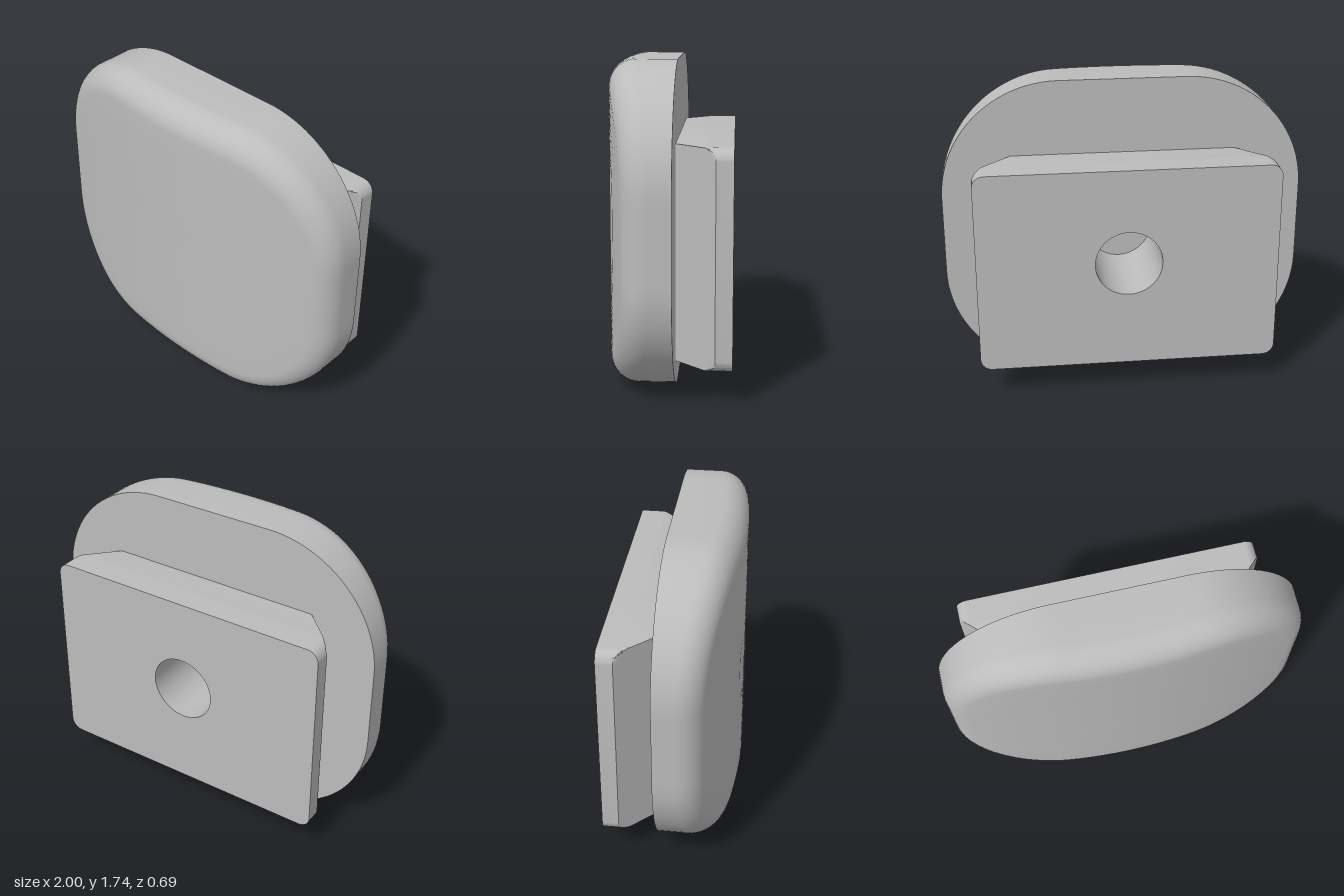
import * as THREE from 'three';
import { toCreasedNormals } from 'three/addons/utils/BufferGeometryUtils.js';

const BACK = -0.045;      // back of the pad, where the mount starts
const MOUNT_BACK = -0.345;
const HOLE = { y: 0.785, r: 0.185, end: 0.18 };

// Rounded rectangle, counter-clockwise, as points with outward normals
function outline(cy, hw, hh, r, arcSteps, edgeSteps) {
  const points = [];
  const corners = [[1, -1], [1, 1], [-1, 1], [-1, -1]];
  corners.forEach(([sx, sy], c) => {
    const ox = sx * (hw - r), oy = cy + sy * (hh - r);
    for (let i = 0; i <= arcSteps; i++) {
      const a = (c - 1 + i / arcSteps) * Math.PI / 2;
      const nx = Math.cos(a), ny = Math.sin(a);
      points.push({ x: ox + r * nx, y: oy + r * ny, nx, ny });
    }
    // subdivide the straight edge to the next corner
    const [tx, ty] = corners[(c + 1) % 4];
    const a = c * Math.PI / 2, nx = Math.cos(a), ny = Math.sin(a);
    const ex = tx * (hw - r), ey = cy + ty * (hh - r);
    for (let i = 1; i < edgeSteps; i++) {
      const t = i / edgeSteps;
      points.push({ x: ox + (ex - ox) * t + r * nx, y: oy + (ey - oy) * t + r * ny, nx, ny });
    }
  });
  return points;
}

// Skin over equal-length rings running from back to front
function loft(rings) {
  const n = rings[0].length, index = [];
  for (let k = 0; k < rings.length - 1; k++) {
    for (let i = 0; i < n; i++) {
      const j = (i + 1) % n, a = k * n, b = a + n;
      index.push(a + i, a + j, b + j, a + i, b + j, b + i);
    }
  }
  const g = new THREE.BufferGeometry();
  g.setAttribute('position', new THREE.Float32BufferAttribute(rings.flat(2), 3));
  g.setIndex(index);
  return toCreasedNormals(g, 0.5);
}

// Flat face looking backward, pierced by the screw hole
function backFace(points, z) {
  const shape = new THREE.Shape(points.map(p => new THREE.Vector2(p.x, p.y)));
  const hole = new THREE.Path();
  hole.absarc(0, HOLE.y, HOLE.r, 0, Math.PI * 2, true);
  shape.holes.push(hole);
  return new THREE.ShapeGeometry(shape, 24).rotateY(Math.PI).translate(0, 0, z);
}

// Pad: straight wall, rolled edge and a front bowed about the vertical axis
function padGeometry(edge) {
  const R = 3.18, r = 0.15, zAxis = 0.345 - R;
  const rings = [edge.map(p => [p.x, p.y, BACK])];
  const steps = 10;
  for (let k = 0; k <= steps; k++) {
    rings.push(edge.map(p => {
      const cx = p.x - r * p.nx, cy = p.y - r * p.ny;
      const cz = zAxis + Math.sqrt((R - r) ** 2 - cx * cx);
      const wall = new THREE.Vector3(p.nx, p.ny, 0);
      const front = new THREE.Vector3(cx, 0, cz - zAxis).normalize();
      const angle = wall.angleTo(front), t = k / steps;
      const d = wall.multiplyScalar(Math.sin((1 - t) * angle))
        .addScaledVector(front, Math.sin(t * angle)).divideScalar(Math.sin(angle));
      return [cx + r * d.x, cy + r * d.y, cz + r * d.z];
    }));
  }
  const rim = rings[rings.length - 1];
  for (const s of [0.85, 0.7, 0.5, 0.25, 0]) {
    rings.push(rim.map(([x, y]) =>
      [x * s, 0.87 + (y - 0.87) * s, zAxis + Math.sqrt(R * R - x * x * s * s)]));
  }
  return loft(rings);
}

// Mount: rounded plate whose sides taper inward toward the pad
function mountGeometry(edge) {
  const levels = [[MOUNT_BACK, 0.83], [-0.255, 0.83], [-0.24, 0.815], [-0.225, 0.8],
    [-0.21, 0.785], [-0.195, 0.77], [BACK, 0.62]];
  return loft(levels.map(([z, w]) =>
    edge.map(p => [THREE.MathUtils.clamp(p.x, -w, w), p.y, z])));
}

export function createModel() {
  const model = new THREE.Group();
  const grey = new THREE.MeshStandardMaterial({ color: 0xbcbcbc });
  grey.name = 'grey';
  const add = (name, geometry) => {
    const mesh = new THREE.Mesh(geometry, grey);
    mesh.name = name;
    model.add(mesh);
  };

  const padEdge = outline(0.87, 1, 0.87, 0.65, 24, 12);
  add('pad', padGeometry(padEdge));
  add('padBack', backFace(padEdge, BACK));

  const mountEdge = outline(0.75, 0.83, 0.575, 0.065, 10, 1);
  add('mount', mountGeometry(mountEdge));
  add('mountBack', backFace(mountEdge, MOUNT_BACK));

  // Blind screw hole: inward-facing wall and flat bottom
  const depth = HOLE.end - MOUNT_BACK;
  const bore = new THREE.CylinderGeometry(HOLE.r, HOLE.r, depth, 48, 1, true);
  bore.rotateX(Math.PI / 2).translate(0, HOLE.y, (HOLE.end + MOUNT_BACK) / 2);
  const order = bore.index.array;
  for (let i = 0; i < order.length; i += 3) [order[i], order[i + 1]] = [order[i + 1], order[i]];
  const normals = bore.attributes.normal.array;
  for (let i = 0; i < normals.length; i++) normals[i] *= -1;
  add('holeWall', bore);
  add('holeBottom', new THREE.CircleGeometry(HOLE.r, 48)
    .rotateY(Math.PI).translate(0, HOLE.y, HOLE.end));

  return model;
}
